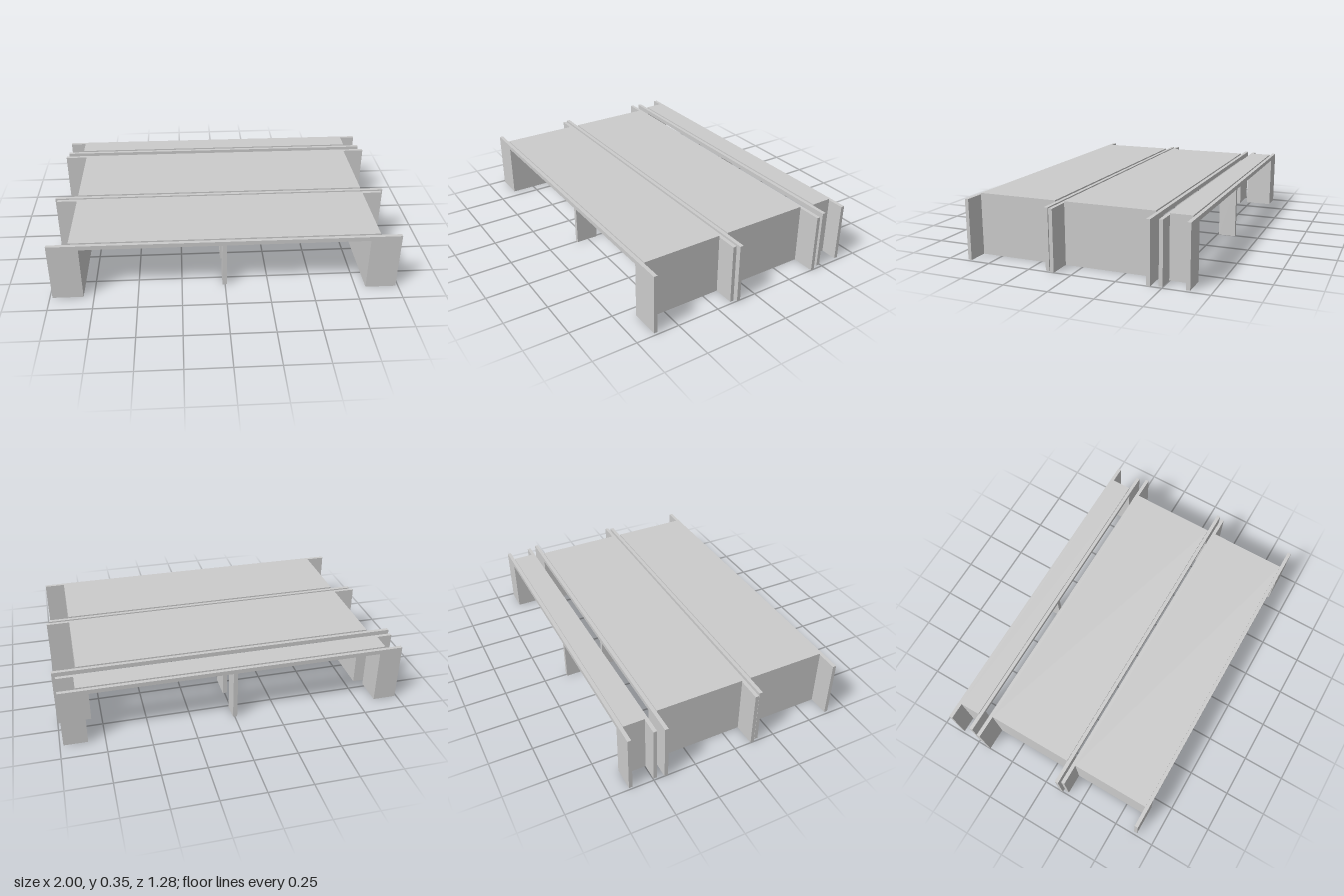
import * as THREE from 'three';

const grey = new THREE.MeshStandardMaterial({ color: 0xcccccc, flatShading: true });
const SOFFIT = 0.32, PANEL_TOP = 0.345, DECK_TOP = 0.353;

// Upside-down U in the xy plane, extruded from z0 to z1
function portal(name, outer, inner, top, z0, z1) {
  const s = new THREE.Shape([
    [-outer, 0], [-inner, 0], [-inner, SOFFIT], [inner, SOFFIT],
    [inner, 0], [outer, 0], [outer, top], [-outer, top],
  ].map(([x, y]) => new THREE.Vector2(x, y)));
  const g = new THREE.ExtrudeGeometry(s, { depth: z1 - z0, bevelEnabled: false });
  g.translate(0, 0, z0);
  const m = new THREE.Mesh(g, grey);
  m.name = name;
  return m;
}

// One bridge bay: deck with side walls, winged end panels, middle piers
function bay({ name, x, back, front, wing, wall, inner, piers }) {
  const t = 0.021;
  const group = new THREE.Group();
  group.name = name;
  group.position.x = x;
  group.add(
    portal('deckAndWalls', wall, inner, DECK_TOP, back + t, front - t),
    portal('backPanel', wing, inner, PANEL_TOP, back, back + t),
    portal('frontPanel', wing, inner, PANEL_TOP, front - t, front),
  );
  for (const [z0, z1] of piers) {
    const pier = new THREE.Mesh(new THREE.BoxGeometry(0.025, SOFFIT, z1 - z0), grey);
    pier.name = 'middlePier';
    pier.position.set(-0.002 - x, SOFFIT / 2, (z0 + z1) / 2);
    group.add(pier);
  }
  return group;
}

export function createModel() {
  const model = new THREE.Group();
  model.name = 'threeBayBridge';
  const bays = [
    { name: 'frontBay', x: 0, back: 0.135, front: 0.64, wing: 0.985, wall: 0.865, inner: 0.81,
      piers: [[0.19, 0.31], [0.44, 0.57]] },
    { name: 'middleBay', x: 0, back: -0.437, front: 0.122, wing: 1, wall: 0.865, inner: 0.81,
      piers: [[-0.37, -0.23], [-0.09, 0.05]] },
    { name: 'backBay', x: -0.004, back: -0.64, front: -0.476, wing: 0.985, wall: 0.888, inner: 0.85,
      piers: [[-0.61, -0.51]] },
  ];
  for (const b of bays) model.add(bay(b));
  return model;
}
